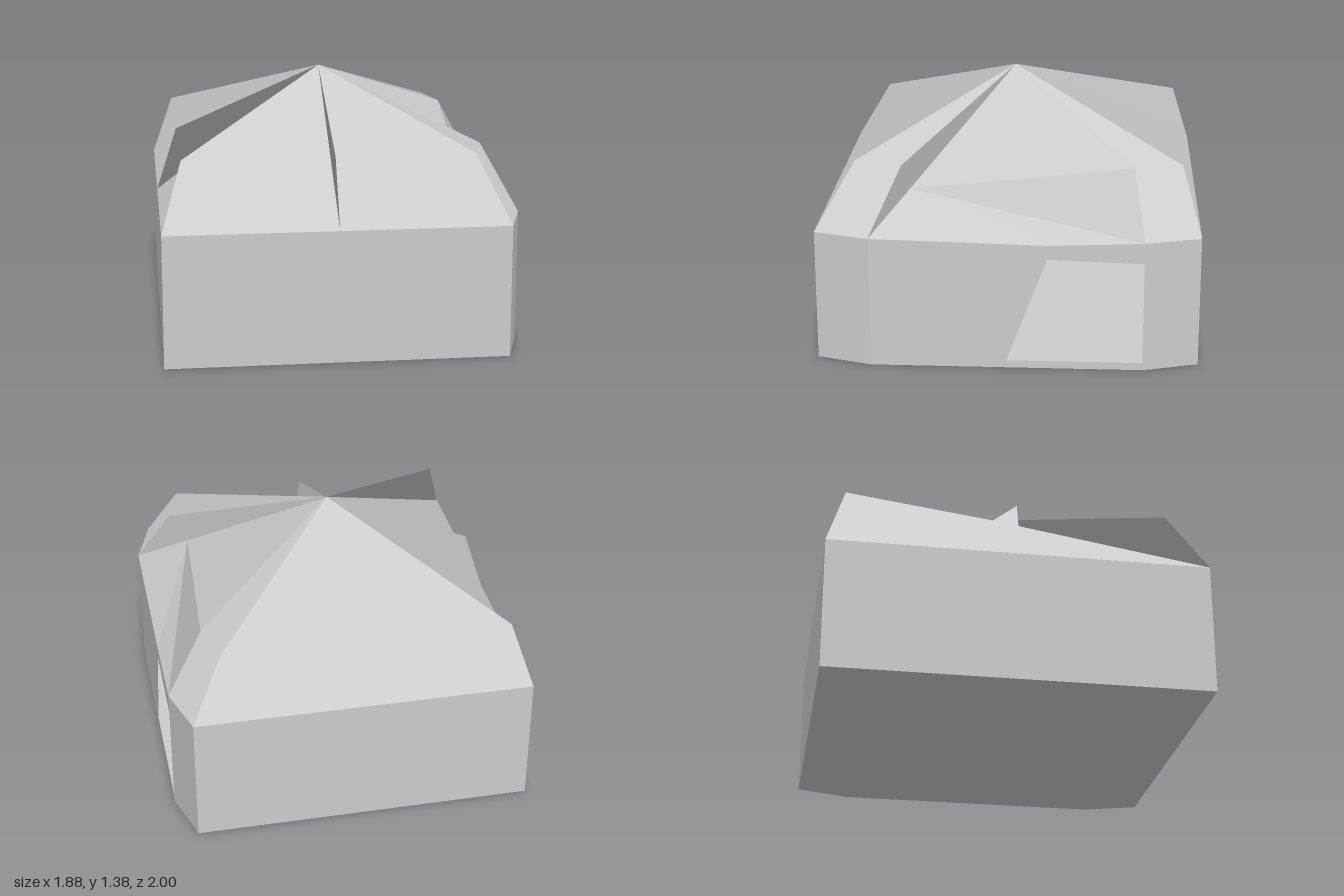
import * as THREE from 'three';

const cloth = new THREE.MeshStandardMaterial({ color: 0xcccccc, side: THREE.DoubleSide });
const EAVE = 0.7, SHOULDER = 1.04;
const apex = [-0.04, 1.38, 0];

// Roof ridges, running round from the front left corner:
// shoulder x, z, foot x, z, and the corner from which the following panel is split.
const ridges = [
  [-0.83, 0.80, -0.94, 1.00, 0],
  [-0.04, 0.80, -0.04, 1.00, 0],
  [0.69, 0.80, 0.85, 1.00, 4],
  [0.76, 0.55, 0.94, 0.71, -1],
  [0.75, -0.65, 0.94, -0.71, 1],
  [0.69, -0.90, 0.85, -1.00, 0],
  [-0.04, -0.90, -0.04, -1.00, 1],
  [-0.83, -0.90, -0.94, -1.00, 0],
  [-0.83, 0.00, -0.94, 0.00, 0],
].map(([sx, sz, fx, fz, split]) => ({
  shoulder: [sx, SHOULDER, sz], foot: [fx, EAVE, fz], base: [fx, 0, fz], split,
}));

// Outward normal of a slightly bent polygon
function polygonNormal(pts) {
  const sum = new THREE.Vector3();
  pts.forEach((p, i) => {
    const q = pts[(i + 1) % pts.length];
    sum.add(new THREE.Vector3(...p).cross(new THREE.Vector3(...q)));
  });
  return sum.normalize();
}

// Triangles from a list of points; one shared normal keeps the cloth evenly shaded
function surface(name, pts, tris, shared) {
  const corners = tris.flat().map((i) => pts[i]);
  const geo = new THREE.BufferGeometry();
  geo.setAttribute('position', new THREE.Float32BufferAttribute(corners.flat(), 3));
  if (shared) {
    const n = polygonNormal(pts).toArray();
    geo.setAttribute('normal', new THREE.Float32BufferAttribute(corners.flatMap(() => n), 3));
  } else geo.computeVertexNormals();
  const mesh = new THREE.Mesh(geo, cloth);
  mesh.name = name;
  return mesh;
}

// Polygon split into a fan around corner k
function fan(name, pts, k = 0) {
  const n = pts.length, tris = [];
  for (let i = 1; i < n - 1; i++) tris.push([k, (k + i) % n, (k + i + 1) % n]);
  return surface(name, pts, tris, true);
}

// Right-hand wall with its slanted opening and slightly sagging top edge
function doorWall() {
  const shape = new THREE.Shape([
    [-0.71, 0], [0.71, 0], [0.71, 0.7], [0.23, 0.68], [-0.71, 0.7],
  ].map((p) => new THREE.Vector2(...p)));
  shape.holes.push(new THREE.Path([
    [0, 0.04], [0.21, 0.605], [0.71, 0.59], [0.71, 0.04],
  ].map(([u, v]) => new THREE.Vector2(Math.min(u, 0.708), v))));
  const mesh = new THREE.Mesh(new THREE.ShapeGeometry(shape), cloth);
  mesh.name = 'doorWall';
  mesh.rotation.y = Math.PI / 2;
  mesh.position.x = 0.94;
  return mesh;
}

export function createModel() {
  const tent = new THREE.Group();
  tent.name = 'tent';
  const roof = new THREE.Group(), walls = new THREE.Group();
  roof.name = 'roof';
  walls.name = 'walls';
  tent.add(roof, walls);

  ridges.forEach((a, i) => {
    const b = ridges[(i + 1) % ridges.length];
    if (a.split < 0) {
      // Sagging side panel above the opening
      const pts = [apex, a.shoulder, a.foot, [0.94, 0.68, -0.23], b.foot, b.shoulder, [0.67, 0.885, 0.515]];
      roof.add(surface('sidePanel', pts,
        [[0, 1, 2], [0, 6, 5], [6, 4, 5], [6, 2, 3], [6, 3, 4]], false));
      walls.add(doorWall());
    } else {
      roof.add(fan('roofPanel', [apex, a.shoulder, a.foot, b.foot, b.shoulder], a.split));
      walls.add(fan('wall', [a.base, b.base, b.foot, a.foot]));
    }
  });

  // Ground sheet
  tent.add(fan('groundSheet', ridges.map((r) => r.base).reverse()));
  return tent;
}
